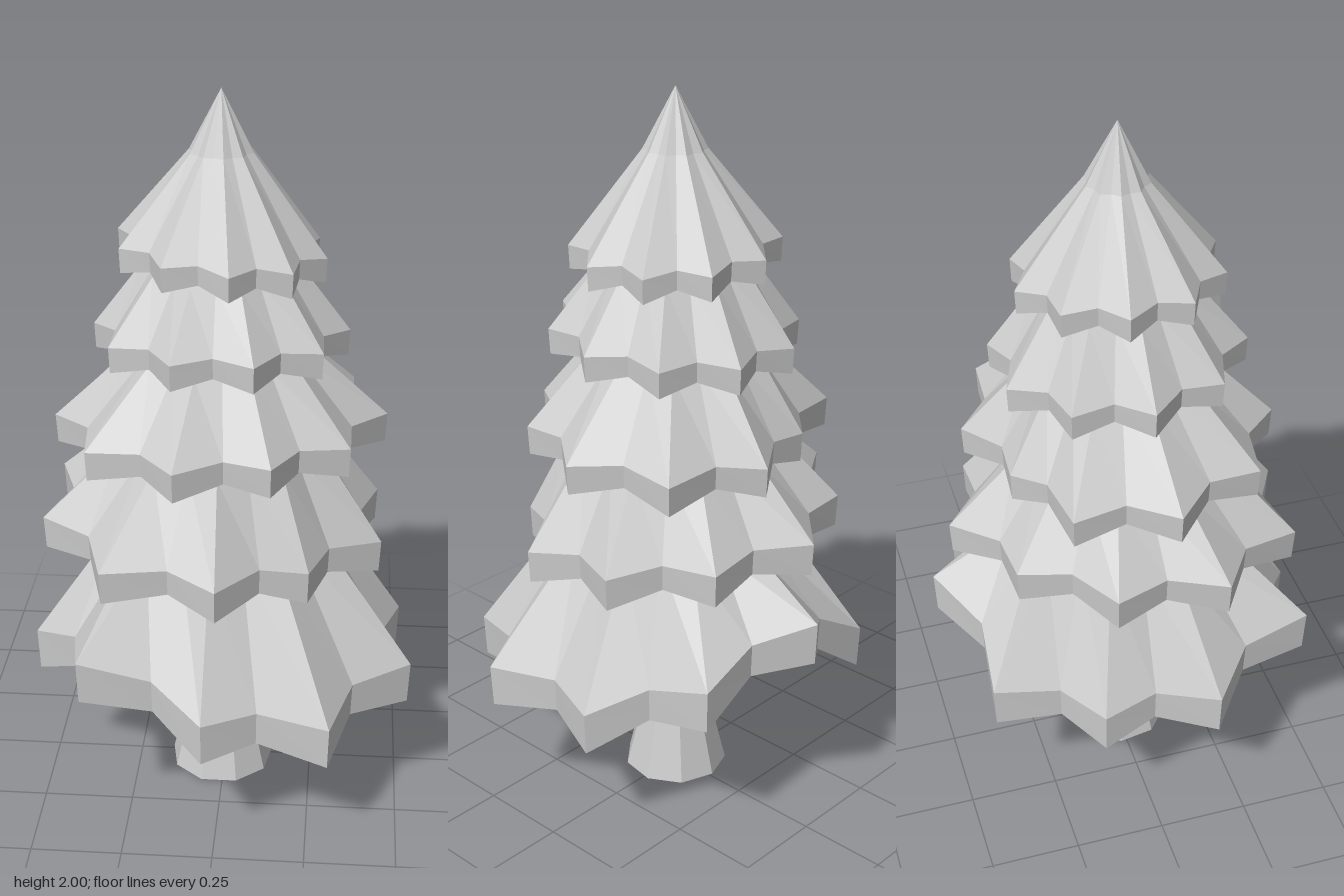
import * as THREE from 'three';

const TIPS = 10; // branch tips per tier

// Foliage tiers, lowest first: turn of the first tip (degrees), mean tip radius with
// per-tip reach, rim height with lift or tilt, rim thickness, neck ring, peak and underside centre
const TIERS = [
  { turn: 20, radius: 0.53, reach: [4, 4, -2, 4, 0, -5, 0, 0, 0, 0], rim: 0.46, lift: [0, -4, -2, 12, 3, -1, 2, 20, 8, -2],
    thick: 0.12, neckR: 0.28, neckY: 0.8, peak: 1, under: 0.53 },
  { turn: 16, radius: 0.47, reach: [-1, -6, -1, 4, 3, 1, -2, 1, -1, -1], rim: 0.84, tiltX: -0.07, tiltZ: -0.05,
    thick: 0.09, neckR: 0.27, neckY: 1.05, peak: 1.2, under: 0.88 },
  { turn: -5, radius: 0.44, reach: [1, -3, -5, -2, 0, 1, 0, -8, -2, 3], rim: 1.11, tiltZ: 0.03,
    thick: 0.08, neckR: 0.22, neckY: 1.31, peak: 1.42, under: 1.14 },
  { turn: 0, radius: 0.34, rim: 1.365, tiltZ: 0.05,
    thick: 0.07, neckR: 0.195, neckY: 1.54, peak: 1.65, under: 1.4 },
  { turn: 10, radius: 0.28, rim: 1.595, tiltX: -0.07, tiltZ: 0.02,
    thick: 0.065, neckR: 0.08, neckY: 1.84, peak: 2, under: 1.62 },
];

// Skin rings ordered from bottom to top; the first and last are collapsed to a point
function loft(rings) {
  const n = rings[0].length, pos = [];
  for (let k = 0; k < rings.length - 1; k++) {
    for (let i = 0; i < n; i++) {
      const j = (i + 1) % n;
      const a = rings[k][i], b = rings[k + 1][i], c = rings[k + 1][j], d = rings[k][j];
      if (k < rings.length - 2) pos.push(...a, ...b, ...c);
      if (k > 0) pos.push(...a, ...c, ...d);
    }
  }
  const geo = new THREE.BufferGeometry();
  geo.setAttribute('position', new THREE.Float32BufferAttribute(pos, 3));
  geo.computeVertexNormals();
  return geo;
}

function tierGeometry({ turn, radius, reach, rim, lift, tiltX = 0, tiltZ = 0, thick, neckR, neckY, peak, under }) {
  // Value at a star corner: a tip's own, or the mean of its neighbours at a notch
  const sample = (list, i) => {
    if (!list) return 0;
    const tip = Math.floor(i / 2);
    return (list[tip] + list[(tip + Math.ceil(i / 2 - tip)) % TIPS]) / 200;
  };
  // Star outline alternating tips and notches
  const star = Array.from({ length: TIPS * 2 }, (_, i) => {
    const notch = i % 2 === 1;
    const angle = THREE.MathUtils.degToRad(turn) + (i * Math.PI) / TIPS;
    const cos = Math.cos(angle), sin = Math.sin(angle);
    const r = (radius + sample(reach, i)) * (notch ? 0.84 : 1);
    const y = rim + sample(lift, i) + r * (tiltX * cos + tiltZ * sin) + (notch ? 0.01 : 0);
    return { cos, sin, r, y, drop: thick * (notch ? 0.8 : 1), neck: neckR * (notch ? 0.94 : 1.06) };
  });
  const ring = (r, y) => star.map((p) => [p.cos * r(p), y(p), p.sin * r(p)]);
  return loft([
    ring(() => 0, () => under),
    ring((p) => p.r * 0.99, (p) => p.y - p.drop),
    ring((p) => p.r, (p) => p.y),
    ring((p) => p.neck, () => neckY),
    ring(() => 0, () => peak),
  ]);
}

export function createModel() {
  const tree = new THREE.Group();
  tree.name = 'pineTree';
  const material = new THREE.MeshStandardMaterial({ color: 0xcccccc, flatShading: true });
  const addPart = (name, geometry) => {
    const mesh = new THREE.Mesh(geometry, material);
    mesh.name = name;
    mesh.position.set(-0.01, 0, 0.01);
    tree.add(mesh);
  };

  // Flared trunk
  const profile = [[0, 0], [0.148, 0], [0.085, 0.26], [0.07, 0.45], [0.06, 0.6]].map(([r, y]) => new THREE.Vector2(r, y));
  addPart('trunk', new THREE.LatheGeometry(profile, 9, Math.PI / 9));

  // Foliage
  TIERS.forEach((tier, i) => addPart(`foliageTier${i + 1}`, tierGeometry(tier)));
  return tree;
}
